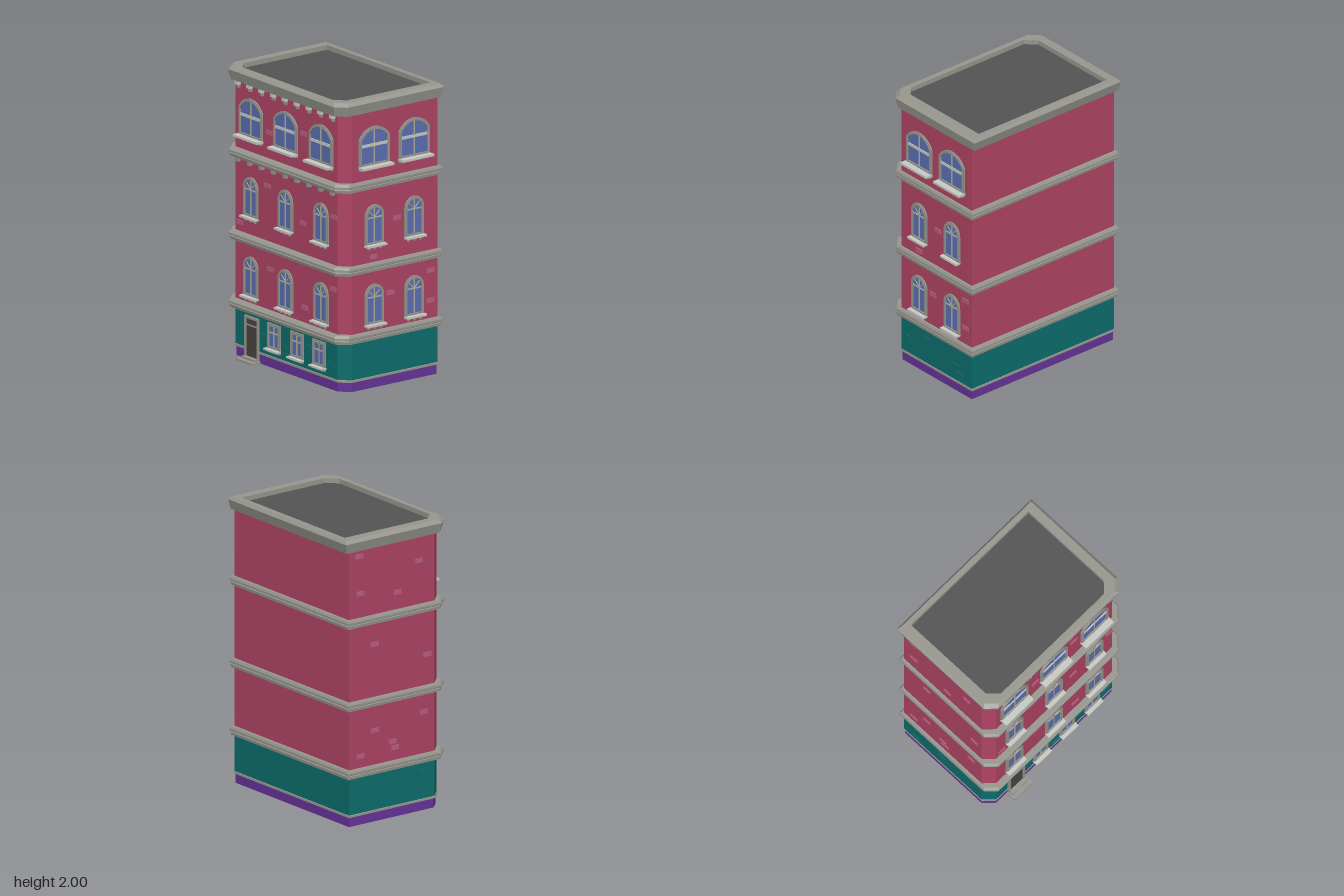
import * as THREE from 'three';

const mat = (name, color, side = THREE.FrontSide) => {
  const m = new THREE.MeshStandardMaterial({ color, side });
  m.name = name;
  return m;
};
const M = {
  wall: mat('raspberry wall', 0xb04465, THREE.DoubleSide),
  ground: mat('teal wall', 0x0d6e6e, THREE.DoubleSide),
  plinth: mat('purple plinth', 0x66339a, THREE.DoubleSide),
  trim: mat('grey stone', 0x989890, THREE.DoubleSide),
  roof: mat('dark roof', 0x545454, THREE.DoubleSide),
  glass: mat('blue glass', 0x5c70b4),
  brick: mat('pale brick', 0xb8607e),
  bar: mat('window bar', 0xb2ae9e),
  light: mat('light stone', 0xc8cbc6),
  door: mat('door', 0x4a4542),
};

// Wall extents: left, right, front, back; the two left corners are bevelled
const WALL = [-0.382, 0.403, 0.602, -0.638];
const BEVEL = 0.068;

function outline([l, r, f, b]) {
  return [[l + BEVEL, f], [r, f], [r, b], [l + BEVEL, b], [l, b + BEVEL], [l, f - BEVEL]];
}
// Grow the wall extents; bands stand out further on the left
const grow = (d, left = 2) => [WALL[0] - d * left, WALL[1] + d * 1.15, WALL[2] + d, WALL[3] - d];

function mesh(parent, name, geometry, material, x = 0, y = 0, z = 0) {
  const m = new THREE.Mesh(geometry, material);
  m.name = name;
  m.position.set(x, y, z);
  parent.add(m);
  return m;
}
const box = (parent, name, material, w, h, d, x, y, z) =>
  mesh(parent, name, new THREE.BoxGeometry(w, h, d), material, x, y, z);

// Flat-faced skin through outlines, each row being [extents, height]
function loft(parent, name, material, rows) {
  const pos = [];
  for (let k = 0; k + 1 < rows.length; k++) {
    const [a, b] = [rows[k], rows[k + 1]].map(([e, y]) => outline(e).map(([x, z]) => [x, y, z]));
    for (let i = 0; i < 6; i++) {
      const j = (i + 1) % 6;
      pos.push(...a[i], ...a[j], ...b[j], ...a[i], ...b[j], ...b[i]);
    }
  }
  const g = new THREE.BufferGeometry();
  g.setAttribute('position', new THREE.Float32BufferAttribute(pos, 3));
  g.computeVertexNormals();
  return mesh(parent, name, g, material);
}

function slab(parent, name, extents, y) {
  const shape = new THREE.Shape(outline(extents).map(([x, z]) => new THREE.Vector2(x, -z)));
  return mesh(parent, name, new THREE.ShapeGeometry(shape).rotateX(-Math.PI / 2), M.roof, 0, y, 0);
}

// Opening outline with a circular-segment head; rise 0 gives a square head
function archPoints(w, h, rise, inset) {
  const a = w / 2 - inset, top = h - inset, s = rise * a / (w / 2);
  const pts = [[-a, inset], [a, inset]];
  if (!s) pts.push([a, top], [-a, top]);
  else {
    const R = (a * a + s * s) / (2 * s), half = Math.asin(Math.min(1, a / R));
    for (let i = 0; i <= 12; i++) {
      const t = half * (1 - i / 6);
      pts.push([R * Math.sin(t), top - R + R * Math.cos(t)]);
    }
  }
  return pts.map(([x, y]) => new THREE.Vector2(x, y));
}
function archRing(w, h, rise, outer, inner, depth) {
  const s = new THREE.Shape(archPoints(w, h, rise, outer));
  s.holes.push(new THREE.Path(archPoints(w, h, rise, inner)));
  return new THREE.ExtrudeGeometry(s, { depth, bevelEnabled: false });
}

// Window standing on y = 0 and facing +z
function makeWindow({ w, h, rise, barY, sill, sillH, fan, brackets, barMat }) {
  const g = new THREE.Group();
  g.name = 'window';
  mesh(g, 'glass', new THREE.ShapeGeometry(new THREE.Shape(archPoints(w, h, rise, 0.012))), M.glass, 0, 0, 0.003);
  mesh(g, 'outerFrame', archRing(w, h, rise, 0, 0.012, 0.009), M.trim);
  mesh(g, 'innerFrame', archRing(w, h, rise, 0.009, 0.02, 0.013), M.trim);
  box(g, 'verticalBar', M.bar, 0.009, h - 0.03, 0.005, 0, h / 2, 0.005);
  box(g, 'crossBar', barMat, w - 0.035, barMat === M.light ? 0.02 : 0.009, 0.006, 0, barY, 0.006);
  if (fan) for (const s of [-1, 1]) {
    const spoke = box(g, 'fanSpoke', M.bar, 0.007, 0.064, 0.004, s * 0.023, barY + 0.024, 0.005);
    spoke.rotation.z = -s * Math.PI / 4;
  }
  box(g, 'sill', M.light, w + 0.004, sillH, sill, 0, 0, sill / 2);
  if (brackets) for (const x of [-0.05, 0, 0.05]) {
    box(g, 'sillBracket', M.trim, 0.016, 0.014, 0.022, x, -0.012, 0.011);
    box(g, 'sillBracketFoot', M.trim, 0.011, 0.012, 0.012, x, -0.024, 0.006);
  } else box(g, 'sillBase', M.trim, w, 0.014, sill * 0.45, 0, -0.012, sill * 0.22);
  return g;
}
const SMALL = { w: 0.16, h: 0.28, rise: 0.08, barY: 0.19, sill: 0.04, sillH: 0.014, fan: true, brackets: true, barMat: M.bar };
const LARGE = { w: 0.258, h: 0.272, rise: 0.078, barY: 0.145, sill: 0.057, sillH: 0.016, barMat: M.light };
const SHOP = { w: 0.14, h: 0.18, rise: 0, barY: 0.115, sill: 0.04, sillH: 0.012, barMat: M.bar };

export function createModel() {
  const model = new THREE.Group();
  model.name = 'townhouse';

  // Shell
  loft(model, 'plinth', M.plinth, [[grow(-0.004, 1), 0], [grow(-0.004, 1), 0.065]]);
  loft(model, 'plinthBand', M.trim, [[grow(-0.004, 1), 0.063], [grow(0.003, 1), 0.065], [grow(0.003, 1), 0.079], [WALL, 0.082]]);
  loft(model, 'groundFloorWalls', M.ground, [[WALL, 0.08], [WALL, 0.34]]);
  slab(model, 'groundFloorCeiling', WALL, 0.338);
  loft(model, 'upperWalls', M.wall, [[WALL, 0.34], [WALL, 1.92]]);

  // Storey bands
  for (const y of [0.335, 0.807, 1.38]) {
    loft(model, 'storeyBand', M.trim, [
      [WALL, y], [grow(0.016), y], [grow(0.018), y + 0.02], [grow(0.014), y + 0.025],
      [grow(0.022), y + 0.03], [grow(0.022), y + 0.045], [grow(0.015), y + 0.061], [WALL, y + 0.062],
    ]);
  }

  // Crown and parapet around the sunken roof
  const inner = [-0.37, 0.395, 0.535, -0.582];
  loft(model, 'crown', M.trim, [
    [WALL, 1.91], [[-0.414, 0.43, 0.607, -0.65], 1.91], [[-0.427, 0.447, 0.618, -0.664], 1.978],
    [[-0.407, 0.432, 0.597, -0.643], 2], [inner, 2], [inner, 1.965],
  ]);
  slab(model, 'roof', inner, 1.967);

  // Each decorated wall: local x runs along it, local z points out of it
  const side = (name, x, z, turn) => {
    const g = new THREE.Group();
    g.name = name;
    g.position.set(x, 0, z);
    g.rotation.y = turn;
    model.add(g);
    return g;
  };
  const front = side('frontDetails', 0, WALL[2], 0);
  const left = side('streetDetails', WALL[0], 0, -Math.PI / 2);
  const back = side('backDetails', 0, WALL[3], Math.PI);

  // Windows on the three upper floors
  for (const [wall, xs] of [[front, [-0.13, 0.204]], [left, [-0.4, -0.025, 0.36]]]) {
    for (const x of xs) {
      for (const [spec, y] of [[SMALL, 0.438], [SMALL, 0.988], [LARGE, 1.537]]) {
        const win = makeWindow(spec);
        win.position.set(x, y, 0);
        wall.add(win);
      }
    }
  }

  // Ground floor windows
  for (const x of [-0.15, 0.1, 0.34]) {
    const win = makeWindow(SHOP);
    win.position.set(x, 0.13, 0);
    left.add(win);
  }

  // Door with steps
  box(left, 'door', M.door, 0.12, 0.28, 0.008, -0.385, 0.155, 0.004);
  mesh(left, 'doorFrame', archRing(0.15, 0.3, 0, 0, 0.016, 0.016), M.trim, -0.385, 0.005, 0);
  box(left, 'doorRail', M.trim, 0.12, 0.01, 0.012, -0.385, 0.245, 0.006);
  box(left, 'lowerStep', M.trim, 0.17, 0.014, 0.073, -0.385, 0.007, 0.0365);
  box(left, 'upperStep', M.trim, 0.14, 0.014, 0.04, -0.385, 0.021, 0.02);

  // Corbels under the upper bands on the street side
  for (let i = 0; i < 9; i++) {
    const x = -0.53 + i * 0.128;
    box(left, 'crownCorbel', M.light, 0.035, 0.028, 0.028, x, 1.897, 0.014);
    box(left, 'crownCorbelFoot', M.trim, 0.025, 0.024, 0.016, x, 1.872, 0.008);
    box(left, 'bandCorbel', M.trim, 0.03, 0.03, 0.024, x, 1.366, 0.012);
  }

  // Raised bricks, [along wall, height]
  const bricks = (wall, material, list) => {
    for (const [x, y] of list) box(wall, 'raisedBrick', material, 0.063, 0.031, 0.008, x, y, 0.003);
  };
  bricks(front, M.brick, [[0.061, 1.142], [-0.135, 0.907], [0.342, 0.727], [0.008, 0.634], [0.342, 0.52]]);
  bricks(front, M.ground, [[-0.25, 0.2], [-0.05, 0.265], [0.25, 0.19], [0.28, 0.14]]);
  bricks(back, M.brick, [[-0.32, 1.87], [-0.31, 1.61], [0.18, 1.745], [0, 1.56], [-0.19, 1.235], [0.25, 1.08],
    [-0.19, 0.635], [0.22, 0.685], [-0.31, 0.478], [-0.04, 0.53], [-0.02, 0.485]]);
  bricks(back, M.ground, [[-0.29, 0.13], [-0.05, 0.21], [0.2, 0.265]]);
  bricks(left, M.brick, [[-0.2, 1.62], [0.17, 1.7], [-0.22, 1.25], [0.16, 1.08], [0.5, 1.2],
    [-0.52, 0.93], [-0.19, 0.68], [0.18, 0.5], [0.49, 0.7]]);
  bricks(left, M.ground, [[-0.265, 0.2], [-0.02, 0.12], [0.22, 0.24], [0.47, 0.17]]);

  return model;
}
